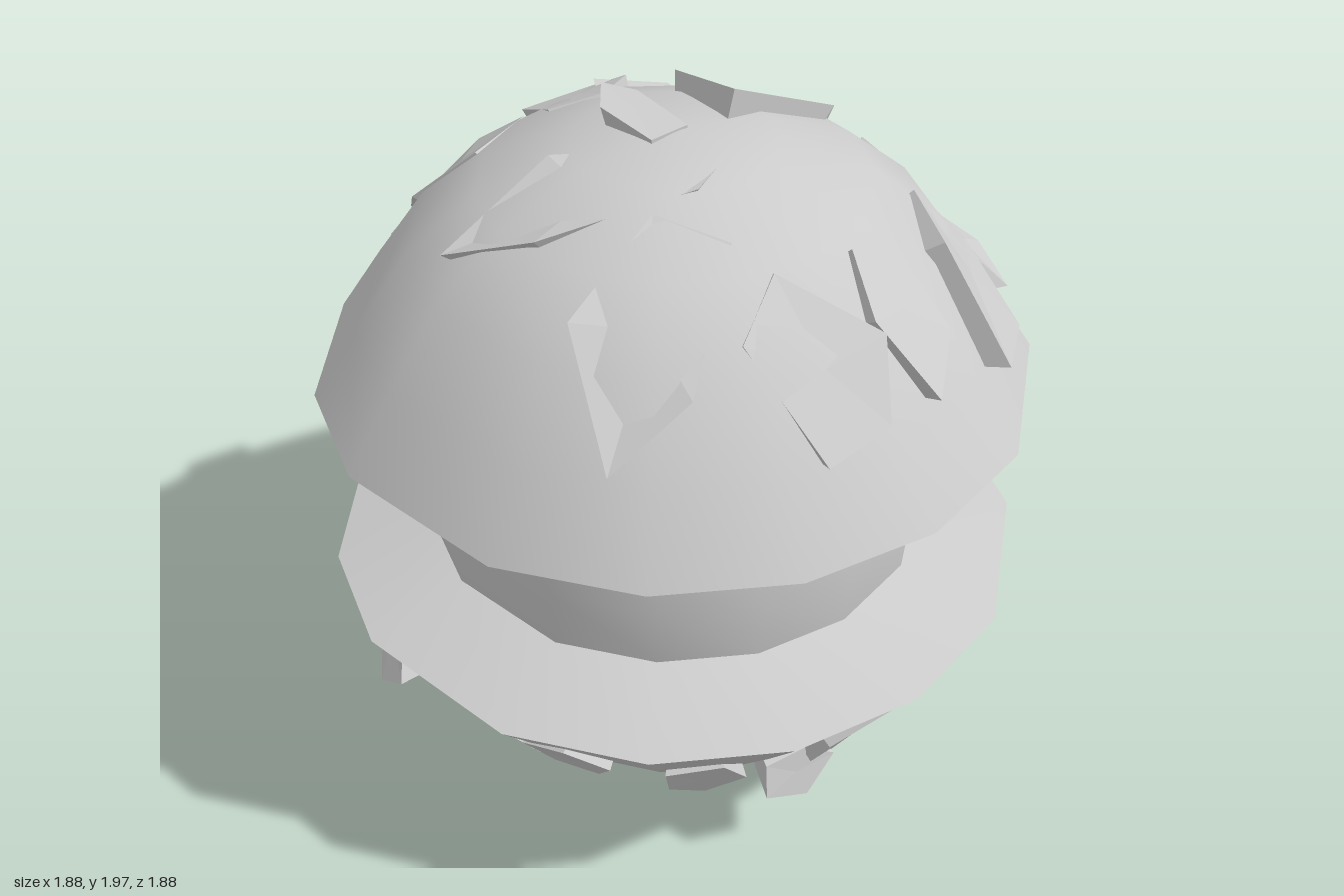
import * as THREE from 'three';
import { mergeVertices } from 'three/addons/utils/BufferGeometryUtils.js';

// Uneven angles (degrees from +z towards +x) of the faceted rims
const ANGLES = [7, 30, 60, 84, 105, 135, 165, 185, 202, 222, 248, 270, 300, 323, 345];
const DOME = [[0.945, 1.26], [0.82, 1.45], [0.68, 1.65], [0.5, 1.8], [0.26, 1.9], [0, 1.93]];
const BOWL = [[0, 0.07], [0.2, 0.08], [0.4, 0.14], [0.58, 0.28], [0.77, 0.5], [0.945, 0.71]];

// Dome plates: x, z, half length, half width, direction of the raised end, lift
const CRUST = [
  [-0.36, 0.42, 0.26, 0.18, 150, 0.04],
  [-0.04, 0.67, 0.18, 0.15, 60, 0.05],
  [0.23, 0.62, 0.19, 0.11, 90, 0.06],
  [0.58, 0.47, 0.28, 0.13, 100, 0.09],
  [0.38, -0.17, 0.28, 0.2, 135, 0.08],
  [0.75, -0.07, 0.15, 0.1, -40, 0.05],
  [0.03, -0.52, 0.18, 0.15, -60, 0.07],
  [0.37, -0.58, 0.23, 0.05, 180, 0.06],
  [-0.33, -0.55, 0.18, 0.15, -120, 0.04],
  [-0.27, -0.78, 0.16, 0.08, 180, 0.04],
  [-0.05, -0.1, 0.16, 0.08, -100, 0.07],
  [-0.28, 0.06, 0.36, 0.17, 200, 0.03],
  [0.86, 0.1, 0.05, 0.25, 0, 0.08],
];

// Underside lumps: angle, y, half width in degrees, half height, lift
const LUMPS = [
  [6, 0.46, 12, 0.18, 0.08],
  [-27, 0.34, 9, 0.11, 0.09],
  [-6, 0.33, 9, 0.08, 0.18],
  [16, 0.3, 9, 0.1, 0.12],
  [50, 0.3, 16, 0.13, 0.18],
  [80, 0.5, 24, 0.14, 0.04],
  [120, 0.35, 17, 0.09, 0.1],
  [124, 0.18, 15, 0.1, 0.12],
  [156, 0.4, 10, 0.17, 0.1],
  [182, 0.31, 9, 0.16, 0.12],
  [208, 0.4, 11, 0.19, 0.09],
  [250, 0.42, 14, 0.11, 0.28],
  [284, 0.4, 12, 0.17, 0.06],
  [306, 0.48, 8, 0.12, 0.04],
];

const rad = THREE.MathUtils.degToRad;

function seeded(seed) {
  return () => (seed = (seed * 16807) % 2147483647) / 2147483647;
}

// Piecewise linear lookup of one profile column from the other
function lookup(profile, from, to, v) {
  const p = [...profile].sort((a, b) => a[from] - b[from]);
  const i = Math.max(1, p.findIndex((q, k) => v <= q[from] || k === p.length - 1));
  const t = THREE.MathUtils.clamp((v - p[i - 1][from]) / (p[i][from] - p[i - 1][from]), 0, 1);
  return THREE.MathUtils.lerp(p[i - 1][to], p[i][to], t);
}

// Smooth band turned from a profile, with the uneven rim angles
function band(profile) {
  const n = ANGLES.length;
  let g = new THREE.LatheGeometry(profile.map(([r, y]) => new THREE.Vector2(r, y)), n);
  const pos = g.attributes.position;
  for (let i = 0; i < pos.count; i++) {
    const r = Math.hypot(pos.getX(i), pos.getZ(i));
    const a = rad(ANGLES[Math.floor(i / profile.length) % n]);
    pos.setXYZ(i, r * Math.sin(a), pos.getY(i), r * Math.cos(a));
  }
  g.deleteAttribute('uv');
  g.deleteAttribute('normal');
  g = mergeVertices(g);
  g.computeVertexNormals();
  return g;
}

// Irregular five-cornered outline, about one unit in radius
function jagged(random) {
  return Array.from({ length: 5 }, (_, k) => {
    const a = rad(k * 72 + (random() - 0.5) * 30);
    const s = 0.85 + random() * 0.3;
    return [s * Math.cos(a), s * Math.sin(a)];
  });
}

// Faceted plate: fan over an outline, with walls sinking towards a centre
function plate(outline, centre, depth) {
  const mid = outline.reduce((s, p) => s.add(p), new THREE.Vector3()).divideScalar(outline.length);
  const facing = new THREE.Vector3();
  outline.forEach((p, i) => {
    const q = outline[(i + 1) % outline.length];
    facing.add(p.clone().sub(mid).cross(q.clone().sub(mid)));
  });
  const ring = facing.dot(mid.clone().sub(centre)) < 0 ? [...outline].reverse() : outline;
  const inner = ring.map(p => p.clone().lerp(centre, depth));
  const tris = [];
  ring.forEach((p, i) => {
    const j = (i + 1) % ring.length;
    tris.push(mid, p, ring[j], p, inner[i], inner[j], p, inner[j], ring[j]);
  });
  const g = new THREE.BufferGeometry().setFromPoints(tris);
  g.computeVertexNormals();
  return g;
}

export function createModel() {
  const model = new THREE.Group();
  const random = seeded(4217);
  const smooth = new THREE.MeshStandardMaterial({ color: 0xcccccc });
  const faceted = new THREE.MeshStandardMaterial({ color: 0xcccccc, flatShading: true, side: THREE.DoubleSide });
  const add = (name, geometry, material, parent = model) => {
    const mesh = new THREE.Mesh(geometry, material);
    mesh.name = name;
    parent.add(mesh);
  };

  // Main body: bowl, ledge, recessed waist, overhang and dome
  add('bowl', band(BOWL), smooth);
  add('lowerLedge', band([[0.945, 0.71], [0.675, 0.79]]), smooth);
  add('waist', band([[0.675, 0.79], [0.69, 0.97], [0.675, 1.15]]), smooth);
  add('overhang', band([[0.675, 1.15], [0.945, 1.26]]), smooth);
  add('dome', band(DOME), smooth);

  // Broken plates on the dome, each rising towards one end
  const crust = new THREE.Group();
  crust.name = 'crustPlates';
  const domeCentre = new THREE.Vector3(0, 1.26, 0);
  for (const [x, z, length, width, turn, lift] of CRUST) {
    const c = Math.cos(rad(turn)), s = Math.sin(rad(turn));
    const outline = jagged(random).map(([u, v]) => {
      const px = x + u * length * c - v * width * s;
      const pz = z + u * length * s + v * width * c;
      const y = lookup(DOME, 0, 1, Math.hypot(px, pz)) + lift * (1 + u) / 2;
      return new THREE.Vector3(px, y, pz);
    });
    add('crustPlate', plate(outline, domeCentre, 0.13), faceted, crust);
  }

  // Rough lumps under the bowl, standing out at their lower end
  const lumps = new THREE.Group();
  lumps.name = 'undersideLumps';
  const bowlCentre = new THREE.Vector3(0, 0.6, 0);
  const addLump = (name, [deg, y, width, height, lift]) => {
    const outline = jagged(random).map(([u, v]) => {
      const py = y + v * height;
      const r = lookup(BOWL, 1, 0, py) + lift * (1 - v) / 2;
      const a = rad(deg + u * width);
      return new THREE.Vector3(r * Math.sin(a), py, r * Math.cos(a));
    });
    add(name, plate(outline, bowlCentre, 0.22), faceted, lumps);
  };
  LUMPS.forEach(lump => addLump('undersideLump', lump));

  // Ring of crumbs around the foot
  for (let i = 0; i < 9; i++) addLump('footCrumb', [i * 40 + 5, 0.1, 17, 0.08, 0.27]);

  model.add(crust, lumps);
  return model;
}
